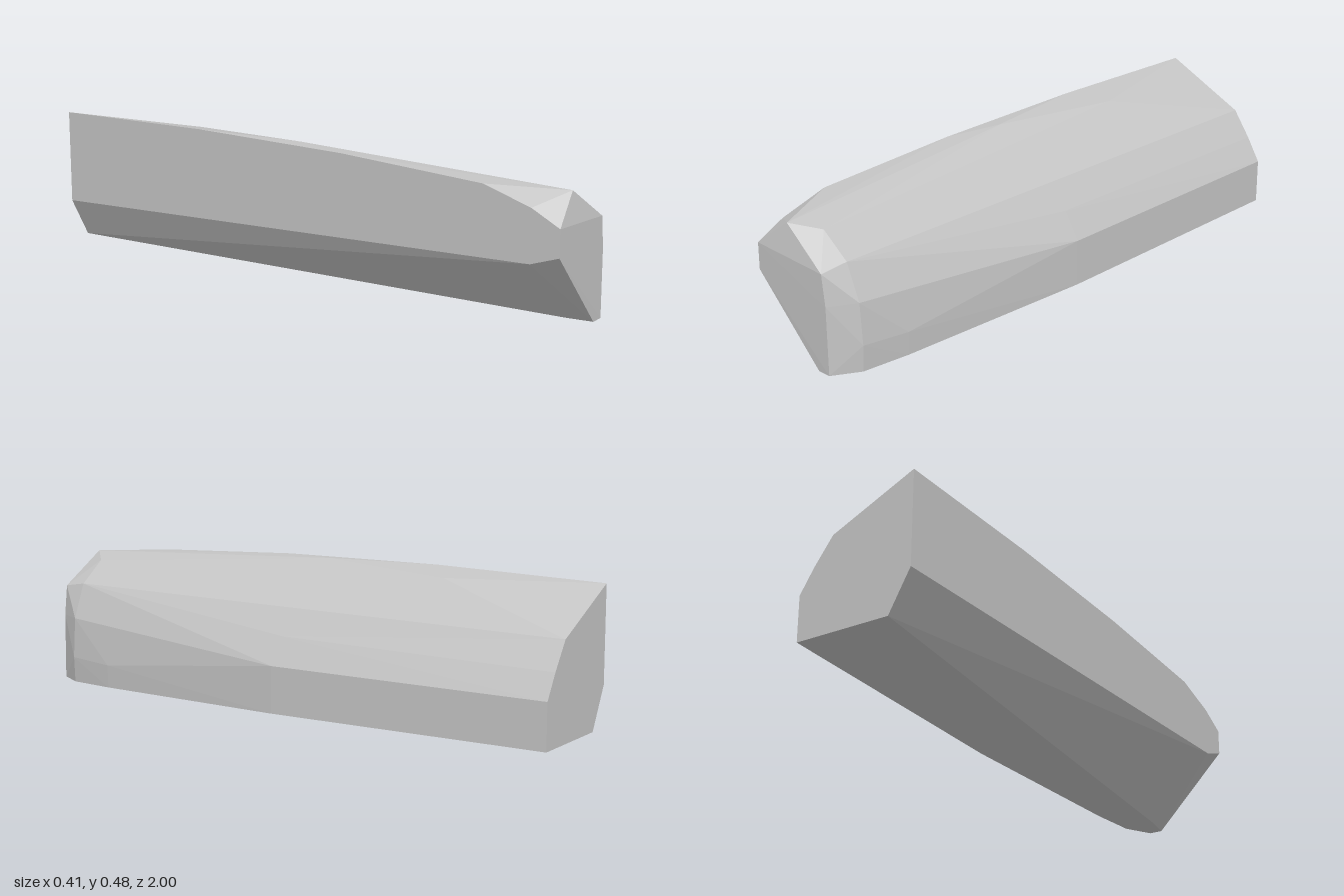
import * as THREE from 'three';
import { ConvexGeometry } from 'three/addons/geometries/ConvexGeometry.js';

// Cross-sections of the faceted body: z, then [x, y] corners
const IN = -0.205; // flat inner side
const sections = [
  [-1, [[IN, 0.14], [-0.13, 0], [0.2, 0], [0.2, 0.155], [0.15, 0.237], [0.085, 0.328], [IN, 0.465]]],
  [-0.48, [[-0.085, 0.456]]],
  [-0.39, [[IN, 0.48]]],
  [0, [[0.205, 0], [0.205, 0.16], [0.15, 0.253], [-0.155, 0.48]]],
  [0.2, [[IN, 0.477]]],
  [0.73, [[0.165, 0], [0.168, 0.08], [0.145, 0.23], [IN, 0.455]]],
  [0.9, [[IN, 0.23], [0.03, 0], [0.145, 0], [0.15, 0.09], [0.14, 0.23], [0.09, 0.35], [-0.01, 0.425], [IN, 0.405]]],
  [0.975, [[-0.09, 0.447]]],
  [0.99, [[0.045, 0], [0.092, 0], [0.09, 0.23], [0.077, 0.335]]],
  [1, [[IN, 0.265], [IN, 0.355]]],
];

export function createModel() {
  const group = new THREE.Group();
  const gray = new THREE.MeshStandardMaterial({ color: 0xc4c4c4, flatShading: true });
  gray.name = 'light gray';

  // One convex shell stretched over all sections
  const points = sections.flatMap(([z, ring]) => ring.map(([x, y]) => new THREE.Vector3(x, y, z)));
  const body = new THREE.Mesh(new ConvexGeometry(points), gray);
  body.name = 'facetedBody';
  group.add(body);
  return group;
}
